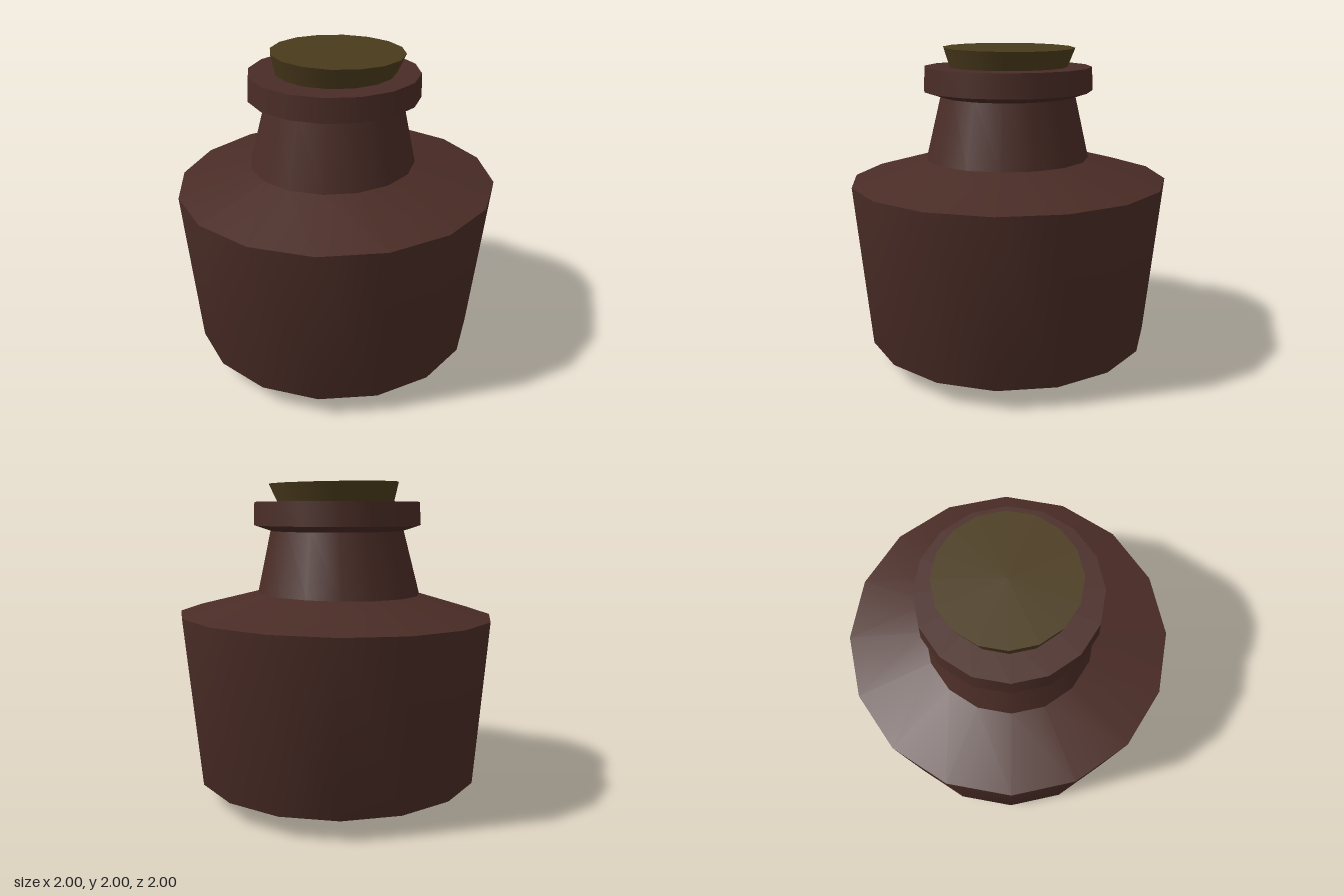
import * as THREE from 'three';

const SIDES = 16;

// Smooth turned band; each ring is [radius, height, x shift, tilt across x]
function band(name, rings, material) {
  const geo = new THREE.LatheGeometry(rings.map(([r, y]) => new THREE.Vector2(r, y)), SIDES);
  const pos = geo.attributes.position;
  for (let i = 0; i < pos.count; i++) {
    const [, , shift, tilt] = rings[i % rings.length];
    const x = pos.getX(i);
    pos.setX(i, x + shift);
    pos.setY(i, pos.getY(i) + x * tilt);
  }
  const mesh = new THREE.Mesh(geo, material);
  mesh.name = name;
  return mesh;
}

export function createModel() {
  const glass = new THREE.MeshStandardMaterial({ color: 0x4a2c26 });
  const cork = new THREE.MeshStandardMaterial({ color: 0x4a3a1c });

  // Rings shared by neighbouring bands
  const shoulderEdge = [1, 1.17, 0, 0.015];
  const neckBase = [0.52, 1.3, -0.022, 0.015];
  const neckTop = [0.425, 1.695, -0.01, 0];
  const lipLow = [0.532, 1.73, -0.012, 0];
  const lipHigh = [0.525, 1.875, -0.01, 0];
  const corkTop = [0.41, 1.993, 0.013, -0.017];

  const bottle = new THREE.Group();
  bottle.name = 'bottle';
  bottle.add(
    // Rounded base running up into the wall
    band('body', [
      [0, 0, 0, 0], [0.45, 0.004, -0.01, 0], [0.71, 0.06, -0.01, 0],
      [0.91, 0.13, -0.01, 0], shoulderEdge,
    ], glass),
    band('shoulder', [shoulderEdge, neckBase], glass),
    band('neck', [neckBase, neckTop], glass),
    // Lip: underside, outer wall and flat rim
    band('lipUnderside', [neckTop, lipLow], glass),
    band('lipWall', [lipLow, lipHigh], glass),
    band('lipRim', [lipHigh, [0.3, 1.875, 0, 0]], glass),
  );

  // Flared stopper
  const stopper = new THREE.Group();
  stopper.name = 'stopper';
  stopper.add(
    band('stopperSide', [[0.345, 1.8, 0, 0], [0.37, 1.875, 0, 0], corkTop], cork),
    band('stopperTop', [corkTop, [0, 1.993, 0.013, 0]], cork),
  );

  const model = new THREE.Group();
  model.name = 'corkedBottle';
  model.add(bottle, stopper);
  return model;
}
